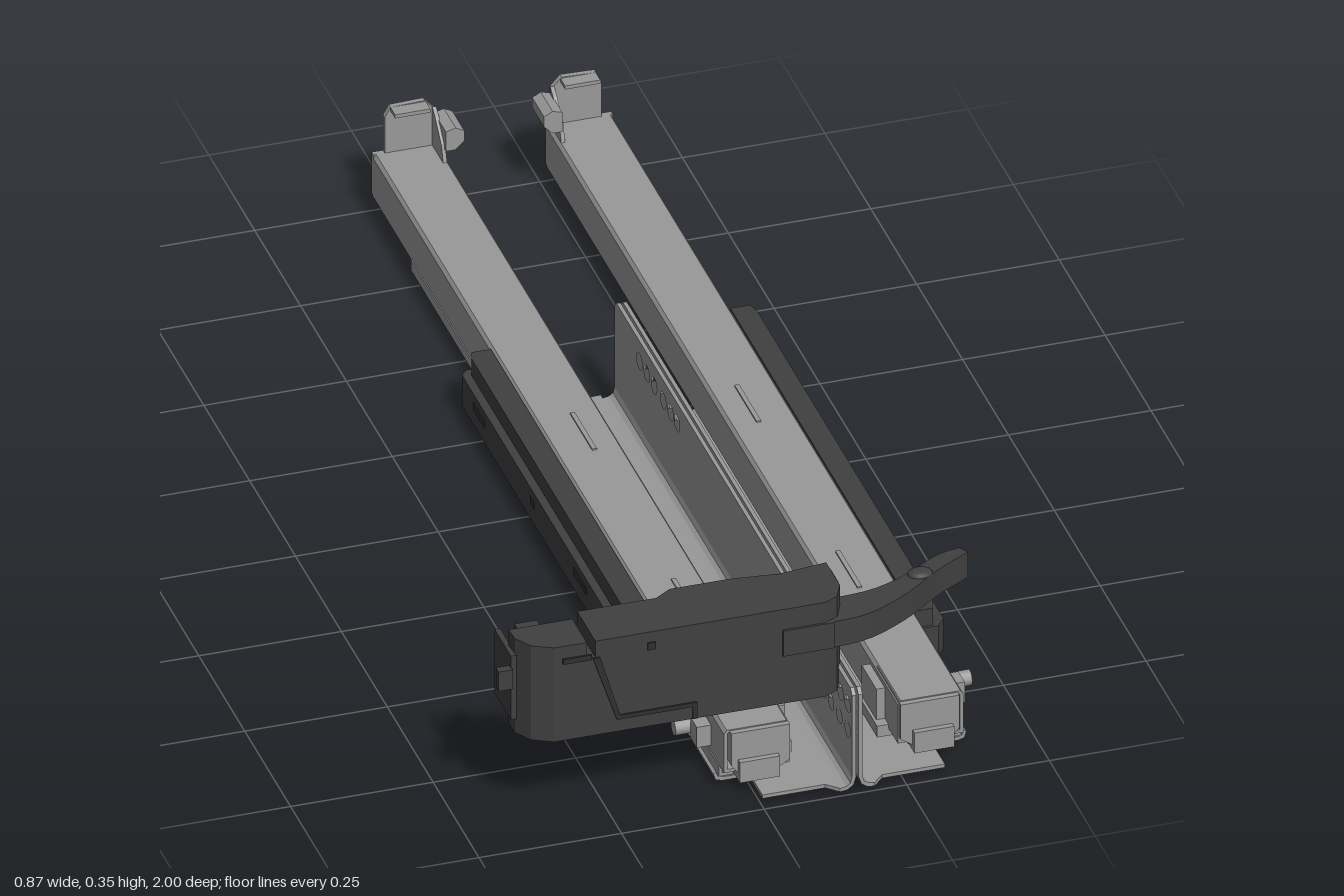
import * as THREE from 'three';

const steel = new THREE.MeshStandardMaterial({ color: 0x999999 });
steel.name = 'steel grey';
const dark = new THREE.MeshStandardMaterial({ color: 0x404040 });
dark.name = 'dark plastic';
const groove = new THREE.MeshStandardMaterial({ color: 0x303030 });
groove.name = 'groove shadow plastic';

const CX = 0.165; // the plane between the two runners

export function createModel() {
  const model = new THREE.Group();
  model.name = 'drawerRunnerPair';

  const add = (parent, name, geometry, mat) => {
    const mesh = new THREE.Mesh(geometry, mat);
    mesh.name = name;
    parent.add(mesh);
    return mesh;
  };
  const shapeOf = (pts) => new THREE.Shape(pts.map(([a, b]) => new THREE.Vector2(a, b)));
  const extrude = (shape, depth) =>
    new THREE.ExtrudeGeometry(shape, { depth, bevelEnabled: false, curveSegments: 10 });

  // box given by its limits
  const box = (parent, name, x0, x1, y0, y1, z0, z1, mat) => {
    const g = new THREE.BoxGeometry(Math.abs(x1 - x0), y1 - y0, z1 - z0);
    g.translate((x0 + x1) / 2, (y0 + y1) / 2, (z0 + z1) / 2);
    return add(parent, name, g, mat);
  };
  // front outline (x, y) drawn along z
  const alongZ = (parent, name, pts, z0, z1, mat) =>
    add(parent, name, extrude(shapeOf(pts), z1 - z0).translate(0, 0, z0), mat);
  // plan outline (x, z) raised along y
  const alongY = (parent, name, pts, y0, y1, mat) =>
    add(parent, name, extrude(shapeOf(pts.map(([x, z]) => [x, -z])), y1 - y0)
      .rotateX(-Math.PI / 2).translate(0, y0, 0), mat);
  // side outline (z, y) drawn along x, with round holes
  const alongX = (parent, name, pts, x0, x1, mat, holes = []) => {
    const shape = shapeOf(pts.map(([z, y]) => [-z, y]));
    for (const [z, y, r] of holes) {
      const path = new THREE.Path();
      path.absarc(-z, y, r, 0, Math.PI * 2, true);
      shape.holes.push(path);
    }
    return add(parent, name, extrude(shape, x1 - x0).rotateY(Math.PI / 2).translate(x0, 0, 0), mat);
  };

  const holes = [0.97, 0.93, 0.89, 0.85, 0.81, 0.77, 0.73, 0.04, 0.005, -0.035, -0.085, -0.125, -0.165]
    .map((z) => [z, 0.16, 0.015])
    .concat([0.97, 0.925, 0.88, 0.84].map((z) => [z, 0.11, 0.014]));

  // one runner; s = 1 is the left one, s = -1 its mirror image
  const runner = (s) => {
    const g = new THREE.Group();
    g.name = s > 0 ? 'leftRunner' : 'rightRunner';
    model.add(g);
    const X = (u) => CX + s * u;
    const P = (pts) => pts.map(([u, v]) => [X(u), v]);
    const b = (name, u0, u1, y0, y1, z0, z1, mat) => box(g, name, X(u0), X(u1), y0, y1, z0, z1, mat);

    // upright fixing plate with holes
    const xa = Math.min(X(0.002), X(0.009));
    alongX(g, 'fixingPlate', [[0.995, 0.03], [0.995, 0.19], [0.985, 0.2], [-0.29, 0.2], [-0.3, 0.19], [-0.3, 0.03]],
      xa, xa + 0.007, steel, holes);
    // bend between the plate and the base
    alongZ(g, 'plateBend', P([[0.002, 0.03], [0.009, 0.03], [0.012, 0.019], [0.019, 0.014], [0.03, 0.012],
      [0.03, 0.005], [0.017, 0.007], [0.007, 0.014]]), -0.3, 0.995, steel);
    // flat base
    alongY(g, 'basePlate', P([[0.03, 0.995], [0.05, 0.975], [0.16, 0.975], [0.16, 0.9], [0.21, 0.9],
      [0.21, -0.22], [0.075, -0.22], [0.075, -0.31], [0.03, -0.31]]), 0.005, 0.012, steel);
    // turned-up outer edge
    alongZ(g, 'baseLip', P([[0.205, 0.005], [0.218, 0.008], [0.222, 0.02], [0.217, 0.024], [0.214, 0.014], [0.205, 0.012]]),
      -0.22, 0.9, steel);
    b('baseRivet', 0.025, 0.035, 0, 0.005, 0.02, 0.03, steel);
    const pad = new THREE.CylinderGeometry(0.04, 0.04, 0.005, 20);
    pad.scale(0.6, 1, 1.3).translate(X(0.18), 0.0025, -0.03);
    add(g, 'basePad', pad, dark);

    // inner rail
    alongZ(g, 'innerRail', P([[0.12, 0.014], [0.212, 0.014], [0.212, 0.034], [0.207, 0.034], [0.207, 0.02],
      [0.18, 0.02], [0.18, 0.065], [0.125, 0.065], [0.125, 0.034], [0.12, 0.034]]), -0.78, 0.9, steel);

    // outer channel, open underneath
    alongZ(g, 'drawerChannel', P([[0.095, 0.032], [0.095, 0.108], [0.1, 0.115], [0.205, 0.115], [0.21, 0.108],
      [0.21, 0.032], [0.19, 0.032], [0.19, 0.038], [0.204, 0.038], [0.204, 0.109],
      [0.101, 0.109], [0.101, 0.038], [0.113, 0.038], [0.113, 0.032]]), -0.995, 0.92, steel);
    for (const z of [0.5, -0.05]) b('channelRib', 0.14, 0.148, 0.115, 0.118, z - 0.06, z + 0.06, steel);

    // rear end plate with hook
    alongZ(g, 'rearHookPlate', P([[0.095, 0.035], [0.21, 0.035], [0.21, 0.115], [0.19, 0.115], [0.19, 0.185],
      [0.18, 0.203], [0.12, 0.205], [0.102, 0.185], [0.102, 0.115], [0.095, 0.115]]), -1, -0.99, steel);
    b('rearHookTop', 0.118, 0.18, 0.196, 0.203, -0.99, -0.965, steel);
    const xh = Math.min(X(0.1), X(0.107));
    alongX(g, 'rearHookWeb', [[-0.99, 0.115], [-0.93, 0.115], [-0.94, 0.145], [-0.975, 0.18], [-0.99, 0.19]],
      xh, xh + 0.007, steel);
    alongZ(g, 'rearHookNub', P([[0.102, 0.137], [0.085, 0.137], [0.07, 0.152], [0.07, 0.172], [0.085, 0.18], [0.102, 0.175]]),
      -0.995, -0.93, steel);

    // front end fittings
    alongZ(g, 'frontEndBlock', P([[0.097, 0.045], [0.097, 0.113], [0.2, 0.113], [0.2, 0.05], [0.185, 0.03], [0.12, 0.03]]),
      0.8, 0.93, steel);
    b('frontCatch', 0.08, 0.1, 0.03, 0.1, 0.77, 0.85, steel);
    b('frontFoot', 0.075, 0.107, 0.018, 0.04, 0.77, 0.87, steel);
    b('frontRollerHousing', 0.118, 0.188, 0.02, 0.06, 0.88, 0.94, steel);
    b('adjusterArm', 0.2, 0.235, 0.045, 0.085, 0.815, 0.85, steel);
    const peg = new THREE.CylinderGeometry(0.014, 0.014, 0.06, 14);
    peg.rotateZ(Math.PI / 2).translate(X(0.23), 0.06, 0.8);
    add(g, 'adjusterPeg', peg, steel);

    // damper housing on the outer side
    alongY(g, 'damperLower', P([[0.21, 0.66], [0.25, 0.66], [0.265, 0.64], [0.265, -0.335], [0.255, -0.35], [0.21, -0.35]]),
      0.02, 0.08, dark);
    alongY(g, 'damperUpper', P([[0.21, 0.655], [0.242, 0.655], [0.25, 0.63], [0.25, -0.33], [0.244, -0.35], [0.21, -0.35]]),
      0.08, 0.113, dark);
    for (const [z, w] of [[0.31, 0.07], [0.05, 0.02], [-0.24, 0.06]])
      b('damperSlot', 0.264, 0.267, 0.052, 0.066, z - w / 2, z + w / 2, groove);
  };
  runner(1);
  runner(-1);

  // front locking device
  const lock = new THREE.Group();
  lock.name = 'lockingDevice';
  model.add(lock);
  const plan = [[-0.405, 0.865], [-0.403, 0.895], [-0.385, 0.925], [-0.35, 0.943], [0.125, 0.945], [0.15, 0.932],
    [0.165, 0.9], [0.165, 0.825], [0.08, 0.835], [-0.005, 0.825], [-0.11, 0.825], [-0.14, 0.845], [-0.278, 0.845],
    [-0.278, 0.865]];
  alongY(lock, 'lockBody', plan, 0.165, 0.318, dark);
  // upper part, split by a notch
  alongY(lock, 'lockTopLeft', [...plan.slice(0, 4), [-0.293, 0.944], [-0.293, 0.865]], 0.318, 0.35, dark);
  alongY(lock, 'lockTopRight', [[-0.278, 0.944], ...plan.slice(4, 13)], 0.318, 0.35, dark);
  // seam on the front face
  alongZ(lock, 'frontSeam', [[-0.283, 0.318], [-0.27, 0.318], [-0.235, 0.198], [-0.1, 0.198], [-0.1, 0.166],
    [-0.108, 0.166], [-0.108, 0.19], [-0.241, 0.19]], 0.944, 0.947, groove);
  box(lock, 'frontSlot', -0.335, -0.285, 0.316, 0.326, 0.943, 0.947, groove);
  box(lock, 'frontDimple', -0.187, -0.173, 0.316, 0.33, 0.944, 0.947, groove);
  // left end and rear details
  box(lock, 'endPlate', -0.412, -0.402, 0.195, 0.32, 0.81, 0.9, dark);
  box(lock, 'endTab', -0.435, -0.41, 0.258, 0.296, 0.89, 0.905, dark);
  box(lock, 'rearBlock', -0.385, -0.345, 0.2, 0.34, 0.835, 0.866, dark);
  box(lock, 'rearBlock', -0.335, -0.3, 0.2, 0.3, 0.845, 0.866, dark);
  box(lock, 'rearLatch', -0.04, 0, 0.29, 0.325, 0.815, 0.827, dark);
  box(lock, 'underStub', -0.065, -0.035, 0.143, 0.166, 0.86, 0.89, dark);
  box(lock, 'sideLug', 0.16, 0.174, 0.2, 0.333, 0.82, 0.865, dark);
  box(lock, 'leverClamp', 0.05, 0.14, 0.26, 0.31, 0.94, 0.949, dark);

  // curved release lever
  const curve = (pts) => new THREE.CatmullRomCurve3(pts.map(([x, z]) => new THREE.Vector3(x, 0, z)))
    .getPoints(14).map((p) => [p.x, p.z]);
  const outer = curve([[0.12, 0.948], [0.2, 0.94], [0.28, 0.9], [0.36, 0.84], [0.42, 0.805]]);
  const inner = curve([[0.41, 0.787], [0.37, 0.797], [0.3, 0.84], [0.23, 0.868], [0.14, 0.875]]);
  alongY(lock, 'releaseLever', [...outer, ...inner], 0.26, 0.31, dark);
  const button = new THREE.SphereGeometry(0.022, 14, 6, 0, Math.PI * 2, 0, Math.PI / 2);
  button.scale(1, 0.4, 0.8).translate(0.323, 0.31, 0.845);
  add(lock, 'leverButton', button, dark);

  return model;
}
